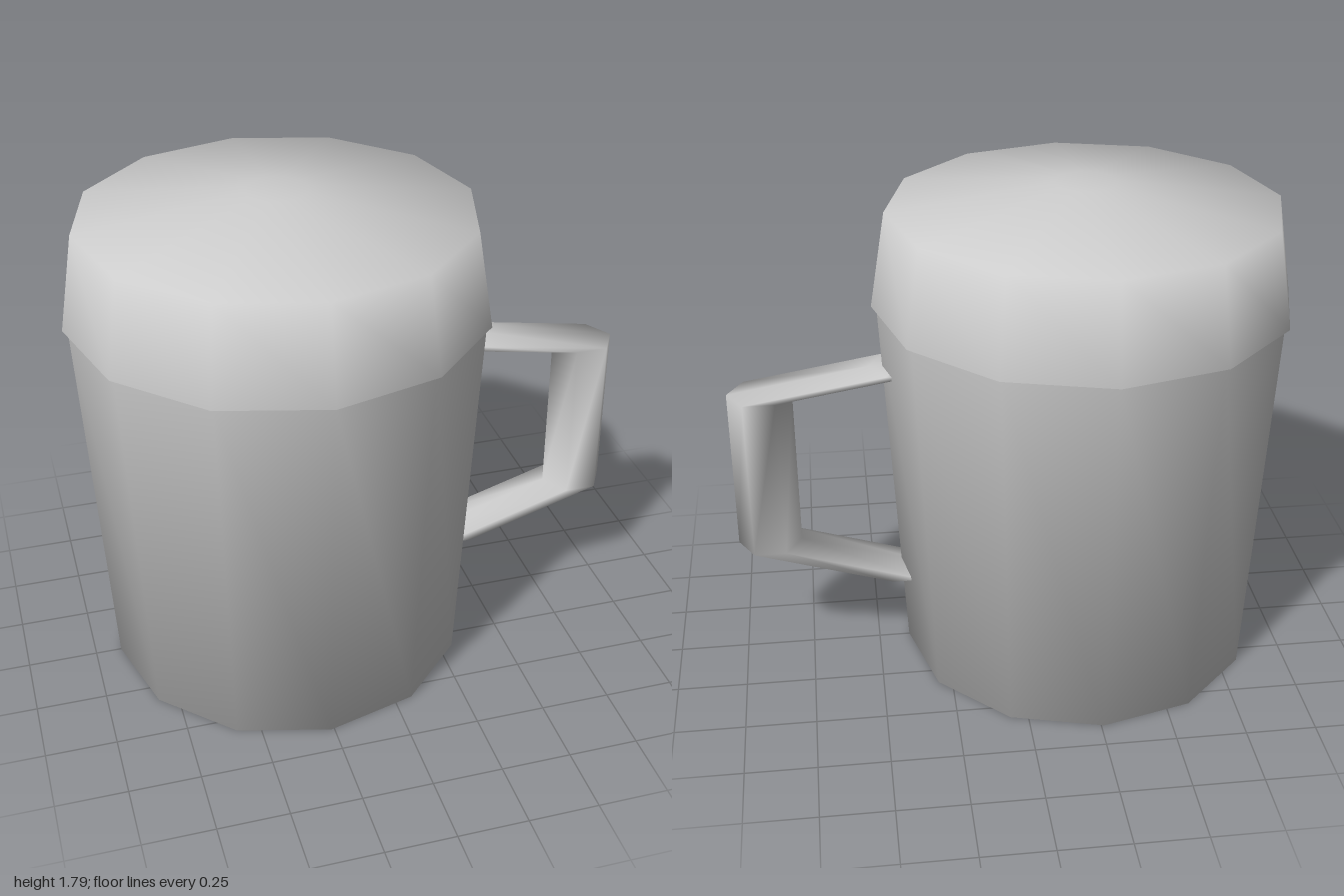
import * as THREE from 'three';
import { mergeVertices } from 'three/addons/utils/BufferGeometryUtils.js';

const AXIS_X = -0.26; // centre line of the mug body
const SIDES = 12;

// Smooth twelve-sided solid of revolution from [radius, y] pairs
function turned(name, profile, material) {
  const points = profile.map(([r, y]) => new THREE.Vector2(r, y));
  const mesh = new THREE.Mesh(new THREE.LatheGeometry(points, SIDES), material);
  mesh.name = name;
  mesh.position.x = AXIS_X;
  return mesh;
}

// Hexagonal bar whose rings all stay level, so the slanted arms become thin
function handleGeometry() {
  const centres = [[0.385, 1.148], [0.885, 1.065], [0.885, 0.46], [0.385, 0.306]];
  const geo = new THREE.CylinderGeometry(0.115, 0.115, 1, 6, 3, false, Math.PI / 2);
  const pos = geo.attributes.position;
  for (let i = 0; i < pos.count; i++) {
    const [x, y] = centres[Math.round((0.5 - pos.getY(i)) * 3)];
    pos.setX(i, pos.getX(i) + x);
    pos.setY(i, y);
  }
  geo.deleteAttribute('normal');
  geo.deleteAttribute('uv');
  const smooth = mergeVertices(geo, 1e-4);
  smooth.computeVertexNormals();
  return smooth;
}

export function createModel() {
  const grey = new THREE.MeshStandardMaterial({ color: 0xcccccc });
  grey.name = 'light grey';

  const group = new THREE.Group();
  group.name = 'lidded mug';

  // Tapered body with closed base
  group.add(turned('body', [[0, 0], [0.647, 0], [0.722, 1.375]], grey));

  // Overhanging lid with a shallow domed top
  group.add(turned('lid', [
    [0.715, 1.375], [0.74, 1.375], [0.685, 1.715], [0.11, 1.795], [0, 1.795],
  ], grey));

  // Handle on the model's left
  const handle = new THREE.Mesh(handleGeometry(), grey);
  handle.name = 'handle';
  group.add(handle);

  return group;
}
